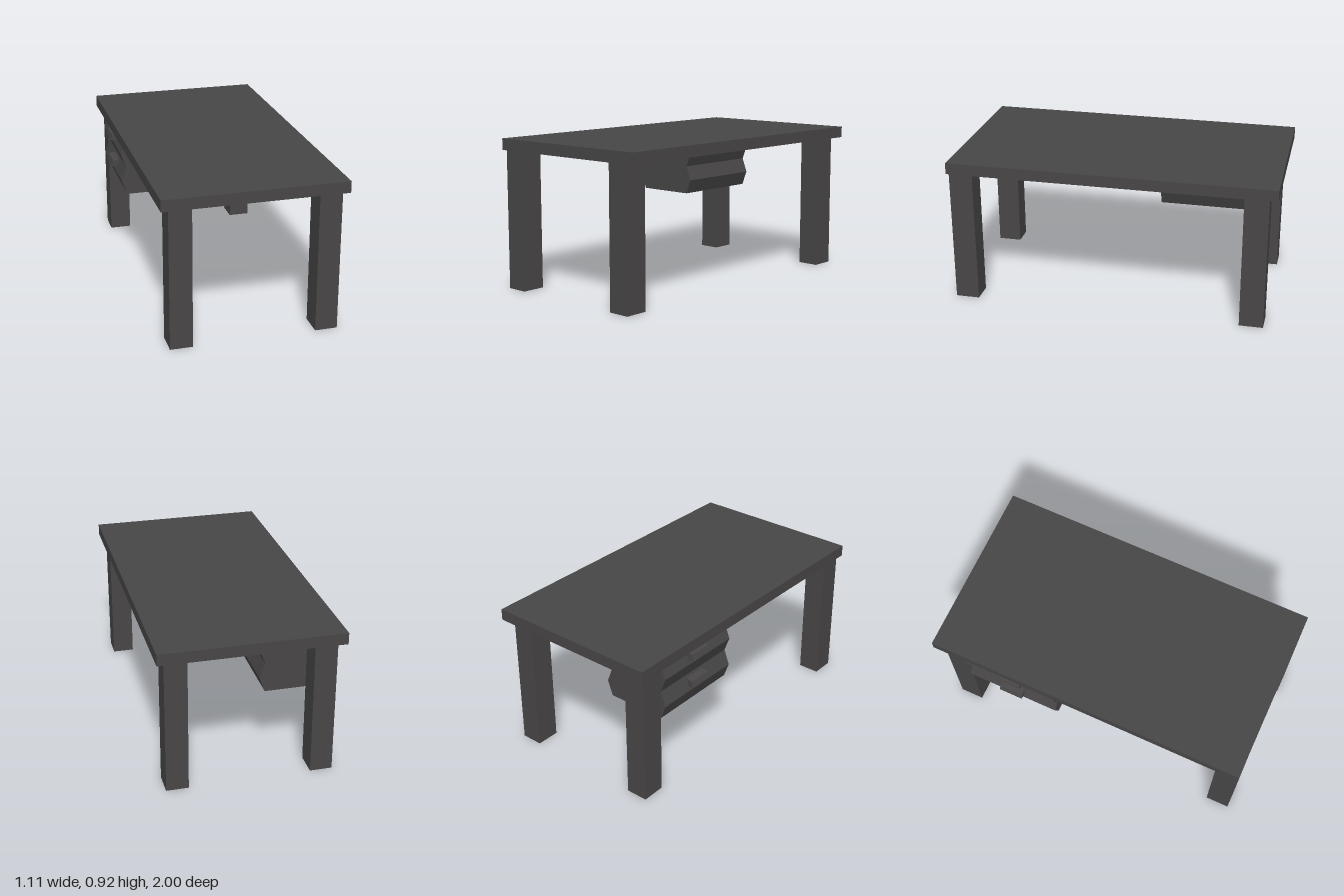
import * as THREE from 'three';

const material = new THREE.MeshStandardMaterial({ color: 0x484647, flatShading: true });

function addMesh(parent, name, geometry) {
  const mesh = new THREE.Mesh(geometry, material);
  mesh.name = name;
  parent.add(mesh);
  return mesh;
}

// Box given by its extents on each axis
function addBox(parent, name, [x0, x1], [y0, y1], [z0, z1]) {
  const box = addMesh(parent, name, new THREE.BoxGeometry(x1 - x0, y1 - y0, z1 - z0));
  box.position.set((x0 + x1) / 2, (y0 + y1) / 2, (z0 + z1) / 2);
}

// Outline in x and y, extruded from z0 to z1
function addPrism(parent, name, points, z0, z1) {
  const shape = new THREE.Shape(points.map(([x, y]) => new THREE.Vector2(x, y)));
  const geometry = new THREE.ExtrudeGeometry(shape, { depth: z1 - z0, bevelEnabled: false });
  return addMesh(parent, name, geometry.translate(0, 0, z0));
}

export function createModel() {
  const desk = new THREE.Group();
  desk.name = 'desk';

  addBox(desk, 'tableTop', [-0.545, 0.553], [0.85, 0.92], [-1, 1]);

  // Legs: the front pair is flush with the top, the back pair is set in
  for (const [end, z] of [['front', [0.853, 1]], ['back', [-0.947, -0.8]]]) {
    addBox(desk, end + 'LeftLeg', [0.37, 0.505], [0, 0.85], z);
    addBox(desk, end + 'RightLeg', [-0.505, -0.37], [0, 0.85], z);
  }

  // Drawer unit: both long sides fold outwards once per drawer
  const drawers = new THREE.Group();
  drawers.name = 'drawerUnit';
  desk.add(drawers);
  const centre = -0.311, inner = 0.186, outer = 0.22;
  const right = [], left = [];
  for (let i = 0; i <= 4; i++) {
    const half = i % 2 ? outer : inner;
    const y = 0.49 + i * 0.09;
    right.push([centre + half, y]);
    left.unshift([centre - half, y]);
  }
  addPrism(drawers, 'drawerCabinet', [...right, ...left], -0.79, -0.2);

  // Tapered handles on the upper slope of each drawer
  const profile = [[-0.556, 0.79], [-0.523, 0.782], [-0.503, 0.834], [-0.544, 0.825]];
  ['upperHandle', 'lowerHandle'].forEach((name, i) => {
    addPrism(drawers, name, profile, -0.57, -0.42).position.y = -0.18 * i;
  });

  return desk;
}
